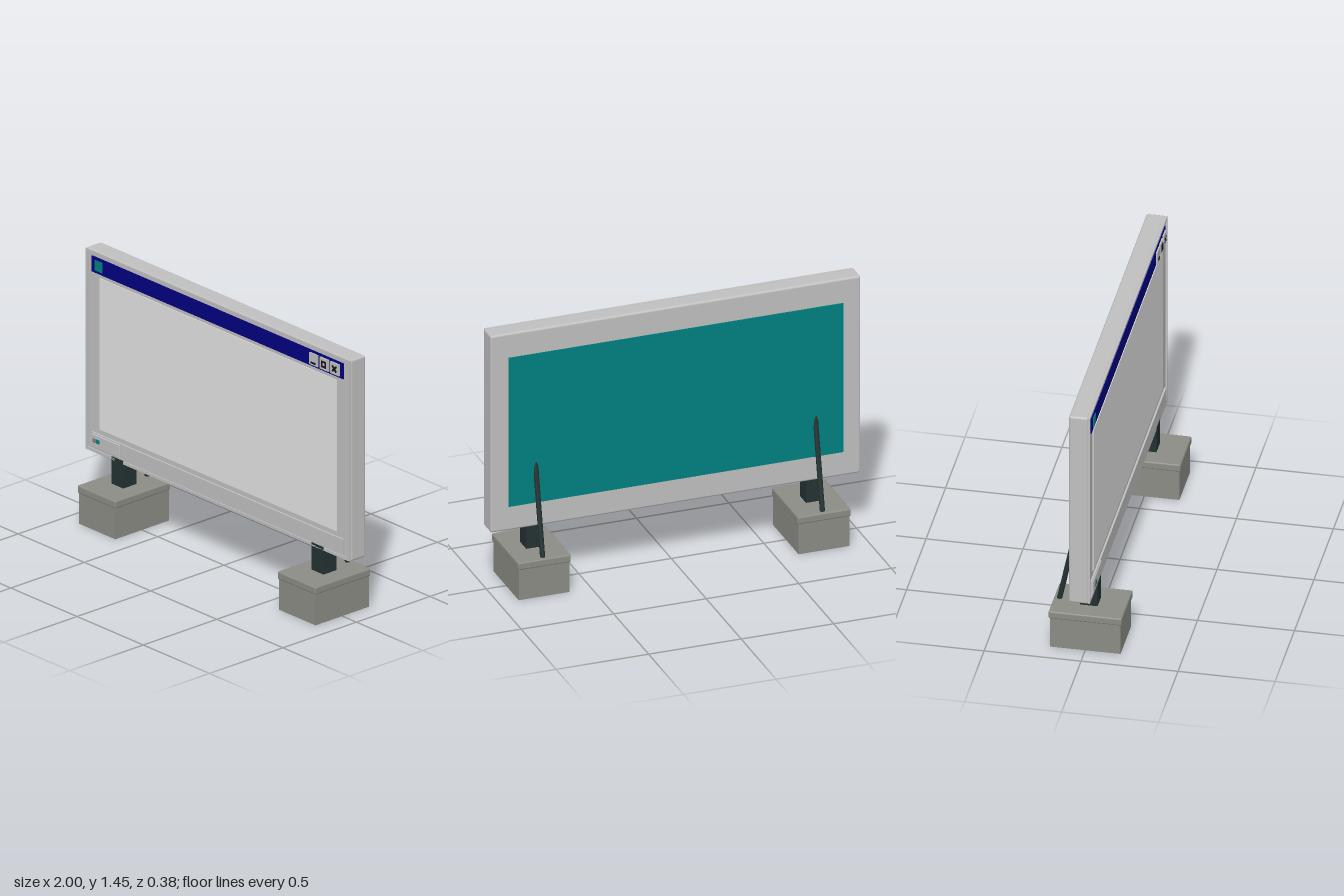
import * as THREE from 'three';
import { RoundedBoxGeometry } from 'three/addons/geometries/RoundedBoxGeometry.js';

const paint = (name, color) => {
  const m = new THREE.MeshStandardMaterial({ color });
  m.name = name;
  return m;
};

export function createModel() {
  const model = new THREE.Group();
  model.name = 'windowBillboard';

  const grey = paint('panelGrey', 0xc0c0c0);
  const pale = paint('screenGrey', 0xe3e3e3);
  const navy = paint('navy', 0x000080);
  const teal = paint('teal', 0x008080);
  const stone = paint('stoneGrey', 0x8c8c86);
  const dark = paint('darkSlate', 0x243232);
  const black = paint('black', 0x141414);
  const mid = paint('midGrey', 0x808080);

  const add = (name, geometry, material, x, y, z, parent = model) => {
    const mesh = new THREE.Mesh(geometry, material);
    mesh.name = name;
    mesh.position.set(x, y, z);
    parent.add(mesh);
    return mesh;
  };
  // box given by its x, y and z ranges
  const block = (name, material, x0, x1, y0, y1, z0, z1, radius = 0) => {
    const size = [x1 - x0, y1 - y0, z1 - z0];
    const geometry = radius
      ? new RoundedBoxGeometry(...size, 2, radius)
      : new THREE.BoxGeometry(...size);
    return add(name, geometry, material, (x0 + x1) / 2, (y0 + y1) / 2, (z0 + z1) / 2);
  };

  // main panel with a slim raised rim
  block('panel', grey, -1, 1, 0.34, 1.445, -0.064, 0.038, 0.012);
  for (const s of [-1, 1]) {
    const x = s * 0.988, y = 0.8925 + s * 0.542;
    block('sideRim', grey, x - 0.008, x + 0.008, 0.343, 1.442, 0.03, 0.045);
    block('endRim', grey, -0.98, 0.98, y - 0.008, y + 0.008, 0.03, 0.045);
  }

  // screen on the front, coloured sheet on the back
  block('screen', pale, -0.895, 0.895, 0.477, 1.306, 0.035, 0.042);
  block('backSheet', teal, -0.905, 0.905, 0.475, 1.31, -0.07, -0.062);

  // title bar and its icon
  block('titleBar', navy, -0.95, 0.95, 1.328, 1.413, 0.036, 0.045);
  block('titleIcon', teal, -0.922, -0.866, 1.343, 1.399, 0.044, 0.05);

  // three window buttons with dark glyphs
  const zg = 0.054;
  [0.733, 0.813, 0.893].forEach((x, i) => {
    block('windowButton', grey, x - 0.032, x + 0.032, 1.338, 1.402, 0.044, 0.053);
    if (i === 0) add('minimiseGlyph', new THREE.BoxGeometry(0.03, 0.009, 0.006), black, x, 1.352, zg);
    if (i === 1) {
      for (const s of [-1, 1]) {
        add('maximiseGlyph', new THREE.BoxGeometry(0.035, 0.008, 0.006), black, x, 1.369 + s * 0.0135, zg);
        add('maximiseGlyph', new THREE.BoxGeometry(0.008, 0.02, 0.006), black, x + s * 0.0135, 1.369, zg);
      }
    }
    if (i === 2) {
      for (const s of [-1, 1]) {
        const bar = add('closeGlyph', new THREE.BoxGeometry(0.042, 0.01, 0.006), black, x, 1.37, zg);
        bar.rotation.z = s * Math.PI / 4;
      }
    }
  });

  // lower bar with a raised button
  block('taskBar', grey, -0.95, 0.95, 0.364, 0.45, 0.036, 0.048);
  block('taskButton', grey, -0.942, -0.73, 0.37, 0.444, 0.04, 0.053, 0.004);
  block('greySquare', mid, -0.928, -0.907, 0.402, 0.423, 0.051, 0.058);
  block('tealSquare', teal, -0.902, -0.88, 0.402, 0.423, 0.051, 0.058);

  // feet: plinth, cap, post and a slanted rear brace
  const lower = new THREE.Vector3(0, 0.19, -0.164);
  const upper = new THREE.Vector3(0, 0.7, -0.057);
  const along = upper.clone().sub(lower);
  for (const s of [-1, 1]) {
    const foot = new THREE.Group();
    foot.name = s < 0 ? 'rightFoot' : 'leftFoot';
    foot.position.x = s * 0.756;
    model.add(foot);
    add('plinth', new THREE.BoxGeometry(0.274, 0.175, 0.364), stone, 0, 0.0875, 0, foot);
    add('plinthCap', new RoundedBoxGeometry(0.287, 0.042, 0.378, 2, 0.008), stone, 0, 0.19, 0, foot);
    add('post', new THREE.BoxGeometry(0.09, 0.18, 0.09), dark, 0, 0.28, 0, foot);
    const middle = lower.clone().add(upper).multiplyScalar(0.5);
    const brace = add('brace', new THREE.CylinderGeometry(0.0135, 0.0135, along.length(), 12), dark, 0, middle.y, middle.z, foot);
    brace.quaternion.setFromUnitVectors(new THREE.Vector3(0, 1, 0), along.clone().normalize());
  }
  return model;
}
